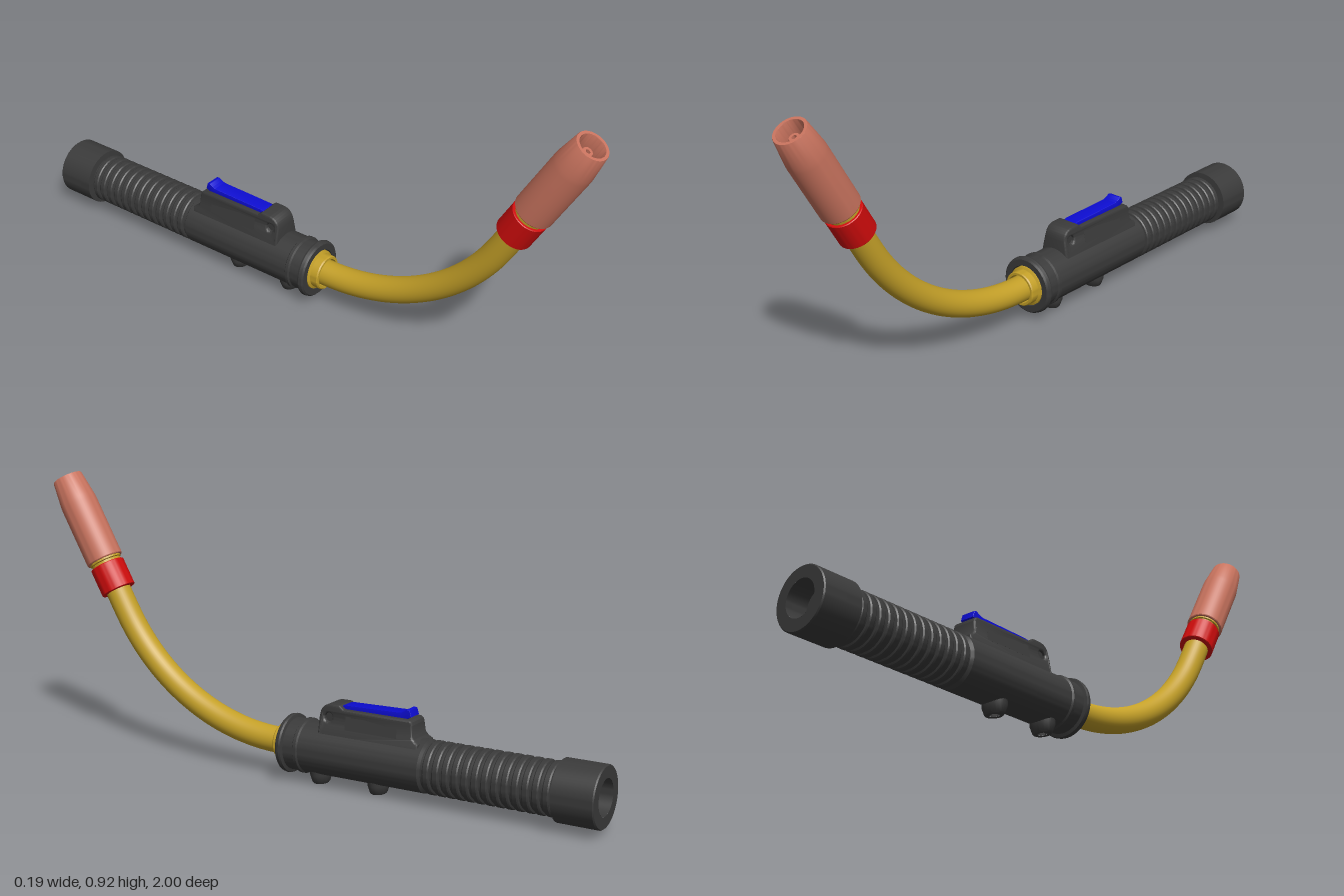
import * as THREE from 'three';
import { toCreasedNormals } from 'three/addons/utils/BufferGeometryUtils.js';

const mat = (color) => new THREE.MeshStandardMaterial({ color });
const DARK = mat(0x3a3a3a), GOLD = mat(0xc4a028), RED = mat(0xd00c0c);
const COPPER = mat(0xc8735e), BLUE = mat(0x0c0cd0);
const AXIS = 0.112; // height of the handle axis

function add(parent, name, geometry, material) {
  const mesh = new THREE.Mesh(geometry, material);
  mesh.name = name;
  parent.add(mesh);
  return mesh;
}

// Turned part: [radius, height] pairs, outside upwards then inside downwards
function turned(points, segments = 48) {
  const g = new THREE.LatheGeometry(points.map(([r, y]) => new THREE.Vector2(r, y)), segments);
  return toCreasedNormals(g, 0.5);
}

// Extrudes a [z, y] side outline across x, centred
function sideExtrude(shape, width, bevel) {
  const depth = width - 2 * bevel;
  const g = new THREE.ExtrudeGeometry(shape, {
    depth, curveSegments: 20, bevelEnabled: true,
    bevelSize: bevel, bevelThickness: bevel, bevelOffset: -bevel, bevelSegments: 3,
  });
  return g.translate(0, 0, -depth / 2).rotateY(-Math.PI / 2);
}

function buildHandle() {
  const handle = new THREE.Group();
  handle.name = 'handle';

  // Grip, from the rear cap through the ribs to the front collar
  const p = [[0.056, -1], [0.092, -1], [0.095, -0.996], [0.095, -0.87], [0.074, -0.868]];
  const ribs = 13, pitch = 0.032;
  for (let i = 0; i < ribs; i++) {
    const z = -0.862 + i * pitch;
    p.push([0.074, z], [0.08, z + 0.002], [0.083, z + 0.006], [0.083, z + 0.019],
      [0.08, z + 0.023], [0.074, z + 0.025]);
  }
  p.push([0.074, -0.445], [0.083, -0.438], [0.083, -0.018], [0.088, -0.014], [0.088, -0.004],
    [0.083, 0], [0.083, 0.036], [0.093, 0.039], [0.095, 0.045], [0.093, 0.055], [0.088, 0.06],
    [0.068, 0.06], [0.066, 0.03], [0.0, 0.03]);
  const grip = add(handle, 'grip', turned(p, 64).rotateX(Math.PI / 2), DARK);
  grip.position.y = AXIS;

  // Stepped bore in the rear cap
  const bore = turned([[0, -0.85], [0.04, -0.85], [0.04, -0.93], [0.056, -0.93], [0.056, -1]].map((v) => v));
  const rear = add(handle, 'rearBore', bore.rotateX(Math.PI / 2), DARK.clone());
  rear.material.side = THREE.DoubleSide;
  rear.position.y = AXIS;

  // Trigger housing with a rounded front hump and a pin hole
  const s = new THREE.Shape();
  s.moveTo(-0.075, 0.15);
  s.lineTo(-0.075, 0.225);
  s.quadraticCurveTo(-0.078, 0.268, -0.12, 0.268);
  s.lineTo(-0.145, 0.268);
  s.lineTo(-0.16, 0.256);
  s.lineTo(-0.385, 0.256);
  s.quadraticCurveTo(-0.398, 0.254, -0.4, 0.24);
  s.lineTo(-0.402, 0.21);
  s.quadraticCurveTo(-0.406, 0.197, -0.425, 0.188);
  s.lineTo(-0.425, 0.15);
  const hole = new THREE.Path();
  hole.absarc(-0.108, 0.226, 0.014, 0, Math.PI * 2, true);
  s.holes.push(hole);
  const housing = sideExtrude(s, 0.084, 0.006);
  const pos = housing.attributes.position;
  for (let i = 0; i < pos.count; i++) { // flare towards the grip
    pos.setX(i, pos.getX(i) * (1 + 5 * Math.max(0, 0.235 - pos.getY(i))));
  }
  add(handle, 'triggerHousing', toCreasedNormals(housing, 0.6), DARK);
  const pin = new THREE.CylinderGeometry(0.018, 0.018, 0.066, 20).rotateZ(Math.PI / 2);
  add(handle, 'pivotPin', pin, DARK).position.set(0, 0.226, -0.108);
  for (const side of [-1, 1]) {
    const panel = add(handle, 'sidePanel', new THREE.BoxGeometry(0.008, 0.045, 0.18), DARK);
    panel.position.set(side * 0.042, 0.217, -0.26);
    panel.rotation.z = side * 0.2;
  }

  // Trigger, kicked up at its rear end
  const t = new THREE.Shape();
  t.moveTo(-0.135, 0.245);
  t.lineTo(-0.135, 0.262);
  t.lineTo(-0.16, 0.268);
  t.lineTo(-0.345, 0.272);
  t.quadraticCurveTo(-0.36, 0.274, -0.372, 0.284);
  t.lineTo(-0.382, 0.282);
  t.lineTo(-0.388, 0.262);
  t.lineTo(-0.365, 0.25);
  t.lineTo(-0.34, 0.245);
  add(handle, 'trigger', toCreasedNormals(sideExtrude(t, 0.05, 0.002), 0.5), BLUE);

  // Screw bosses underneath
  const boss = turned([[0.016, 0], [0.03, 0], [0.034, 0.004], [0.043, 0.027], [0.043, 0.06]], 24);
  const recess = turned([[0, 0.014], [0.016, 0.014], [0.016, 0]], 6);
  for (const z of [-0.057, -0.265]) {
    const lug = new THREE.Group();
    lug.name = 'screwBoss';
    add(lug, 'boss', boss, DARK);
    add(lug, 'screwRecess', recess, rear.material);
    lug.position.z = z;
    lug.scale.z = 0.75;
    handle.add(lug);
  }
  return handle;
}

// Neck: straight, a 60 degree arc, then straight into the head
function buildNeck(tip, along) {
  const neck = new THREE.Group();
  neck.name = 'neck';
  const z0 = 0.09, R = 0.713, points = [new THREE.Vector3(0, AXIS, 0.02)];
  for (let i = 0; i <= 12; i++) {
    const a = (i / 12) * Math.PI / 3;
    points.push(new THREE.Vector3(0, AXIS + R * (1 - Math.cos(a)), z0 + R * Math.sin(a)));
  }
  points.push(tip.clone().addScaledVector(along, -0.34));
  add(neck, 'neckTube', new THREE.TubeGeometry(new THREE.CatmullRomCurve3(points), 80, 0.042, 36), GOLD);
  const collar = turned([[0.065, 0.03], [0.065, 0.06], [0.057, 0.064], [0.057, 0.088],
    [0.054, 0.092], [0.047, 0.092], [0.047, 0.05]]);
  add(neck, 'neckCollar', collar.rotateX(Math.PI / 2), GOLD).position.y = AXIS;
  return neck;
}

// Head: origin at the nozzle mouth, local +y pointing out of it
function buildHead() {
  const head = new THREE.Group();
  head.name = 'head';
  add(head, 'insulatorRing', turned([[0.04, -0.42], [0.056, -0.42], [0.058, -0.418],
    [0.058, -0.327], [0.056, -0.325], [0.04, -0.325]]), RED);
  add(head, 'nozzleSeat', turned([[0.05, -0.33], [0.05, -0.316], [0.054, -0.314], [0.054, -0.29], [0, -0.29]]), GOLD);
  add(head, 'nozzle', turned([[0.05, -0.308], [0.06, -0.308], [0.062, -0.305], [0.062, -0.1],
    [0.061, -0.085], [0.051, -0.002], [0.05, 0], [0.041, 0], [0.04, -0.002], [0.04, -0.08], [0.048, -0.11],
    [0.048, -0.29]]), COPPER);
  add(head, 'contactTip', turned([[0.03, -0.29], [0.03, -0.14], [0.02, -0.12], [0.02, -0.035],
    [0.015, -0.025], [0.007, -0.025], [0.007, -0.06], [0, -0.06]], 32), COPPER);
  return head;
}

export function createModel() {
  const model = new THREE.Group();
  model.name = 'weldingTorch';
  const tilt = Math.PI / 6;
  const tip = new THREE.Vector3(0, 0.898, 0.954);
  const along = new THREE.Vector3(0, Math.cos(tilt), Math.sin(tilt));
  const head = buildHead();
  head.position.copy(tip);
  head.rotation.x = tilt;
  model.add(buildHandle(), buildNeck(tip, along), head);
  return model;
}
